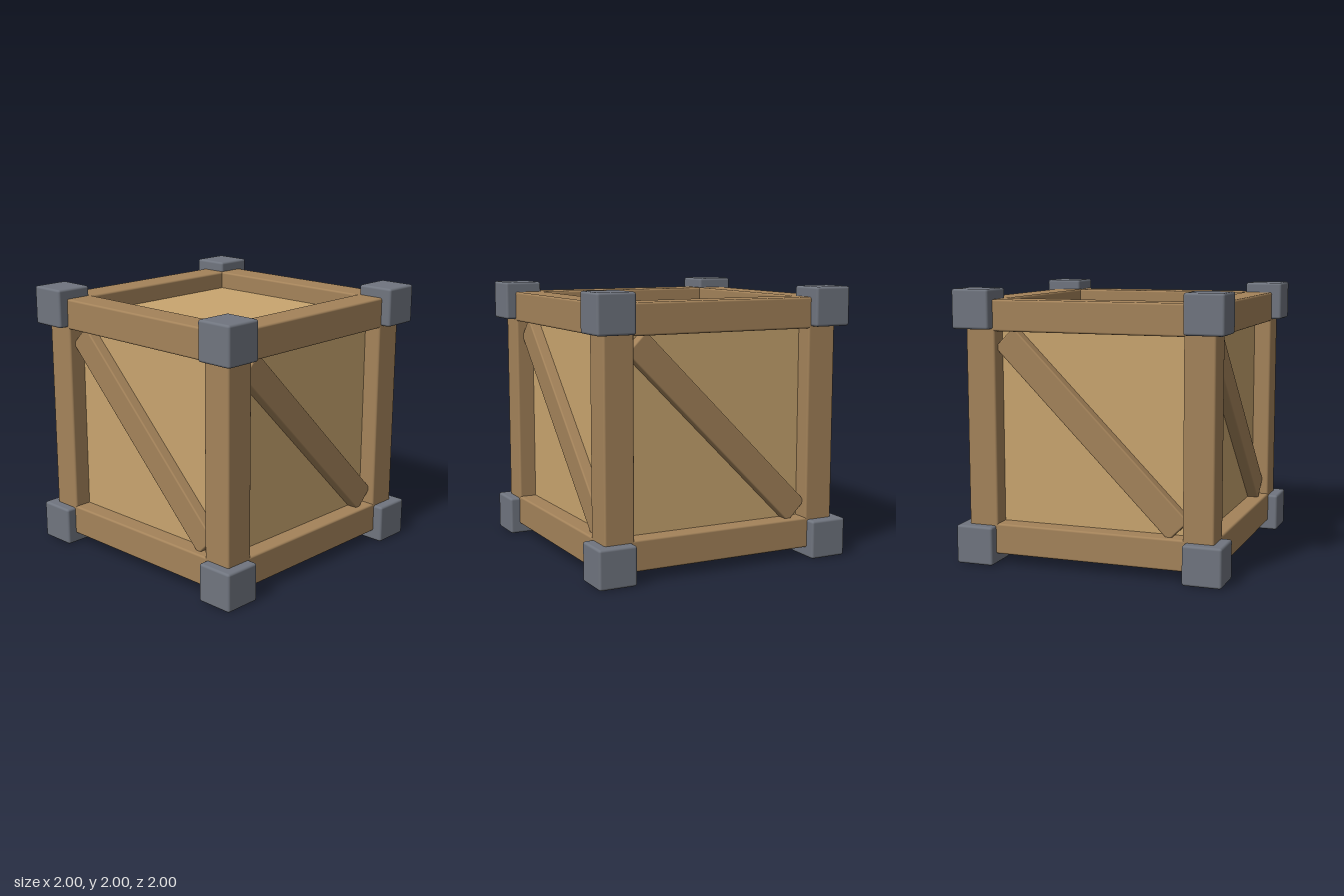
import * as THREE from 'three';
import { RoundedBoxGeometry } from 'three/addons/geometries/RoundedBoxGeometry.js';

function material(name, color) {
  const m = new THREE.MeshStandardMaterial({ color });
  m.name = name;
  return m;
}

export function createModel() {
  const crate = new THREE.Group();
  crate.name = 'crate';
  const panelWood = material('light panel wood', 0xc9a56f);
  const frameWood = material('dark frame wood', 0xa4835a);
  const steel = material('grey steel', 0x70757f);

  const add = (parent, name, geometry, mat, x = 0, y = 0, z = 0) => {
    const mesh = new THREE.Mesh(geometry, mat);
    mesh.name = name;
    mesh.position.set(x, y, z);
    parent.add(mesh);
    return mesh;
  };

  // Everything is laid out around the crate's centre
  const body = new THREE.Group();
  body.name = 'body';
  body.position.y = 1;
  crate.add(body);

  // Recessed panels on all six sides
  add(body, 'panels', new THREE.BoxGeometry(1.59, 1.59, 1.59), panelWood);

  // Twelve frame beams, four along each axis
  const beamAt = 0.8125, beam = 0.225, length = 1.7;
  const beamX = new RoundedBoxGeometry(length, beam, beam, 2, 0.015);
  const beamY = new RoundedBoxGeometry(beam, length, beam, 2, 0.015);
  const beamZ = new RoundedBoxGeometry(beam, beam, length, 2, 0.015);
  const corner = new RoundedBoxGeometry(0.285, 0.285, 0.285, 2, 0.018);
  const cornerAt = 0.8575;
  for (const a of [-1, 1]) {
    for (const b of [-1, 1]) {
      add(body, 'crossBeam', beamX, frameWood, 0, a * beamAt, b * beamAt);
      add(body, 'cornerPost', beamY, frameWood, a * beamAt, 0, b * beamAt);
      add(body, 'sideBeam', beamZ, frameWood, a * beamAt, b * beamAt, 0);
      // Steel corner blocks
      for (const c of [-1, 1]) {
        add(body, 'cornerBlock', corner, steel, a * cornerAt, b * cornerAt, c * cornerAt);
      }
    }
  }

  // Diagonal brace on each of the four upright sides
  const braceGeometry = new RoundedBoxGeometry(1.85, 0.205, 0.15, 2, 0.012);
  for (let i = 0; i < 4; i++) {
    const side = new THREE.Group();
    side.name = 'bracedSide';
    side.rotation.y = i * Math.PI / 2;
    body.add(side);
    add(side, 'diagonalBrace', braceGeometry, frameWood, 0, 0, 0.8).rotation.z = -Math.PI / 4;
  }
  return crate;
}
